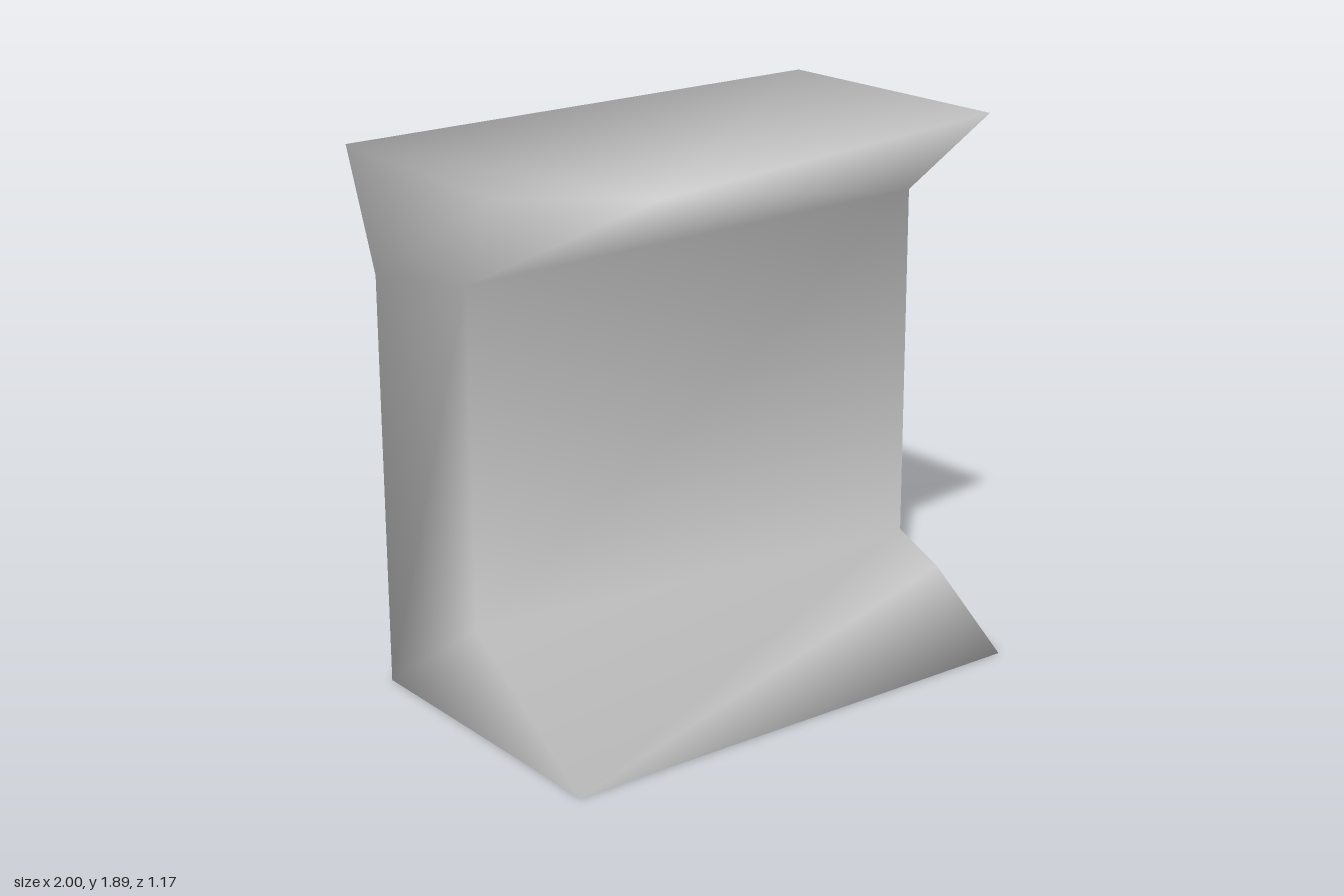
import * as THREE from 'three';

// Corner points of the block: right end (-x) and left end (+x)
const corners = {
  // right end
  rBackBase: [-0.89, 0, -0.59],
  rToe: [-0.89, 0, 0.52],
  rLowShoulder: [-0.89, 0.37, -0.05],
  rHighShoulder: [-0.89, 1.53, -0.05],
  rBackNeck: [-0.89, 1.44, -0.59],
  rLip: [-0.61, 1.89, 0.58],
  rLipSide: [-1.0, 1.89, 0.27],
  rBackTop: [-0.98, 1.89, -0.59],
  // left end
  lBackBase: [0.995, 0, -0.59],
  lBackAnkle: [0.945, 0.08, -0.59],
  lToe: [0.905, 0, 0.52],
  lKnee: [0.945, 0.2, 0.15],
  lLowShoulder: [0.945, 0.28, -0.05],
  lHighShoulder: [0.945, 1.55, -0.05],
  lLip: [0.945, 1.89, 0.34],
  lBackTop: [0.89, 1.89, -0.59],
  lBackNeck: [0.945, 1.74, -0.59],
};

// Faces, counter-clockwise from outside, each fanned from its first corner
const faces = [
  'rBackBase rToe rLowShoulder rHighShoulder rBackNeck',                           // right wall
  'rBackNeck rHighShoulder rLipSide rBackTop',                                     // right flare
  'rHighShoulder rLip rLipSide',                                                   // lip end
  'lHighShoulder lLip rLip rHighShoulder',                                         // lip underside
  'rLip lLip lBackTop rBackTop rLipSide',                                          // top
  'rLowShoulder lLowShoulder lHighShoulder rHighShoulder',                         // front wall
  'rToe lToe lKnee lLowShoulder rLowShoulder',                                     // foot slope
  'lBackAnkle lBackNeck lHighShoulder lLowShoulder lKnee lToe lBackBase',          // left wall
  'lBackNeck lBackTop lLip lHighShoulder',                                         // left top
  'lBackAnkle lBackBase rBackBase rBackNeck rBackTop lBackTop lBackNeck',          // back
  'rBackBase lBackBase lToe rToe',                                                 // base
];

function fanGeometry() {
  const names = Object.keys(corners);
  const index = [];
  for (const face of faces) {
    const loop = face.split(' ').map((n) => names.indexOf(n));
    for (let i = 1; i < loop.length - 1; i++) index.push(loop[0], loop[i], loop[i + 1]);
  }
  const geometry = new THREE.BufferGeometry();
  geometry.setAttribute('position', new THREE.Float32BufferAttribute(Object.values(corners).flat(), 3));
  geometry.setIndex(index);
  geometry.computeVertexNormals(); // shared corners give the soft shading
  return geometry;
}

export function createModel() {
  const group = new THREE.Group();
  group.name = 'channelBlock';
  const grey = new THREE.MeshStandardMaterial({ color: 0xcccccc });
  grey.name = 'light grey';
  const block = new THREE.Mesh(fanGeometry(), grey);
  block.name = 'blockBody';
  group.add(block);
  return group;
}
